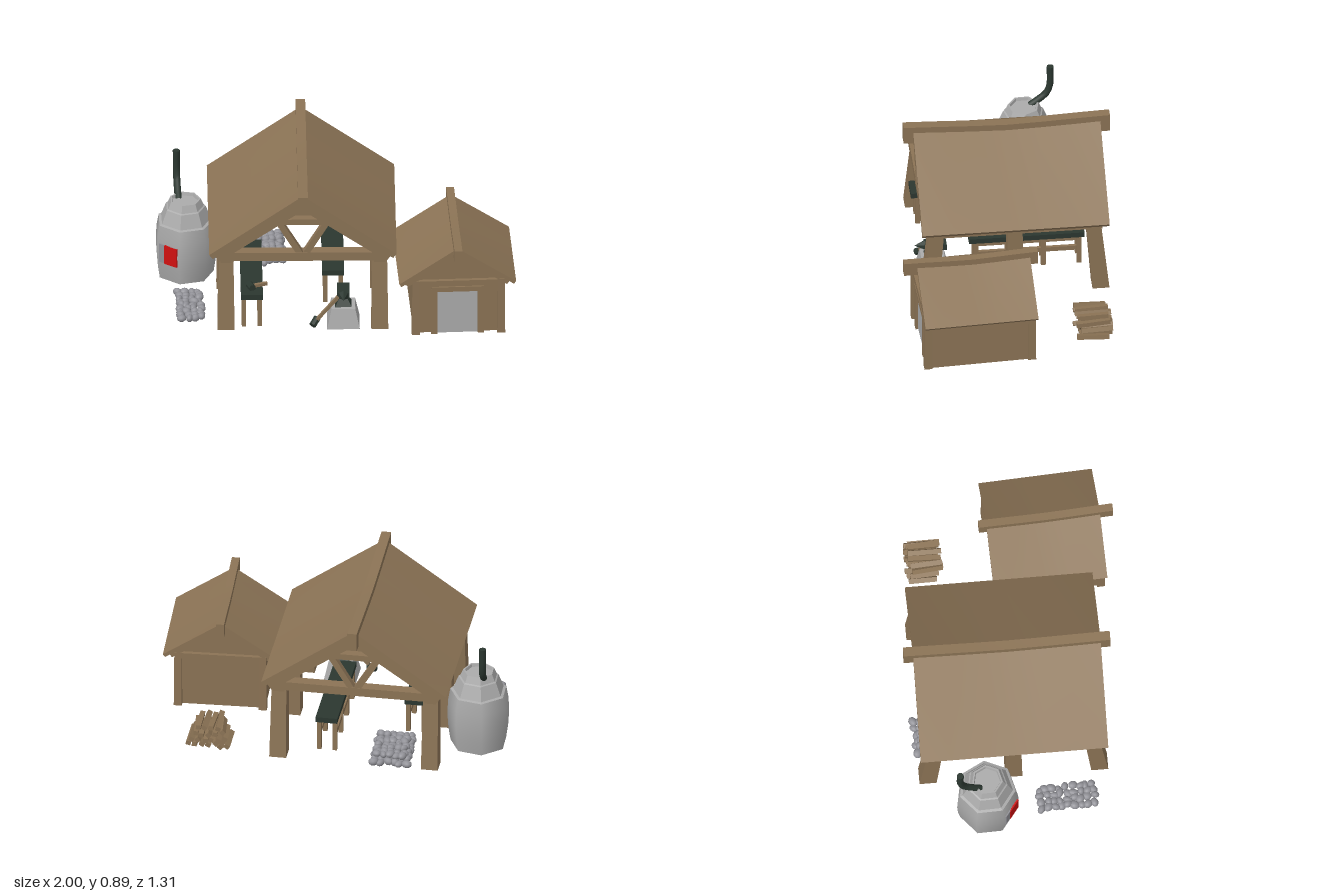
import * as THREE from 'three';

const mat = (name, color, side = THREE.FrontSide) => {
  const m = new THREE.MeshStandardMaterial({ color, side });
  m.name = name;
  return m;
};

export function createModel() {
  const wood = mat('wood', 0x8b7355);
  const iron = mat('dark iron', 0x2b3730);
  const stone = mat('pale stone', 0xababab, THREE.DoubleSide);
  const rock = mat('rock grey', 0x929298);
  const ember = mat('ember red', 0xd01010);

  const root = new THREE.Group();
  root.name = 'smithy';
  const group = (name, parent = root) => {
    const g = new THREE.Group();
    g.name = name;
    parent.add(g);
    return g;
  };
  const add = (parent, name, geo, m, x = 0, y = 0, z = 0) => {
    const mesh = new THREE.Mesh(geo, m);
    mesh.name = name;
    mesh.position.set(x, y, z);
    parent.add(mesh);
    return mesh;
  };
  const box = (parent, name, m, w, h, d, x, y, z) =>
    add(parent, name, new THREE.BoxGeometry(w, h, d), m, x, y, z);
  const flat = (geo) => {
    const g = geo.index ? geo.toNonIndexed() : geo;
    g.computeVertexNormals();
    return g;
  };
  // Straight bar between two points, in the parent's own frame
  const up = new THREE.Vector3(0, 1, 0);
  const beam = (parent, name, m, a, b, w, h = w) => {
    const p = new THREE.Vector3(...a), q = new THREE.Vector3(...b);
    const mesh = add(parent, name, new THREE.BoxGeometry(w, h, p.distanceTo(q)), m);
    mesh.quaternion.setFromRotationMatrix(new THREE.Matrix4().lookAt(q, p, up));
    mesh.position.copy(p).add(q).multiplyScalar(0.5);
    return mesh;
  };
  // Four-sided tapering block, optionally leaning along z
  const taper = (parent, name, m, bottom, top, h, x, y, z, lean = 0) => {
    const g = new THREE.CylinderGeometry(top * Math.SQRT1_2, bottom * Math.SQRT1_2, h, 4);
    g.rotateY(Math.PI / 4).translate(0, h / 2, 0);
    const p = g.attributes.position;
    for (let i = 0; i < p.count; i++) p.setZ(i, p.getZ(i) + lean * p.getY(i) / h);
    return add(parent, name, flat(g), m, x, y, z);
  };
  let seed = 7;
  const rnd = () => (seed = (seed * 16807) % 2147483647) / 2147483647;

  // Two slopes that sag towards the ridge, with square-cut eaves, and the ridge beam
  function roof(parent, { half, length, ridge, eave, thick, sag, beamW, beamH, beamL, beamTop, beamZ }) {
    const slope = (ridge - eave) / half;
    const drop = (z) => sag * (Math.min(1, Math.abs(z) / (length / 2)) ** 1.3 - 1);
    for (const turn of [0, Math.PI]) {
      const g = new THREE.BoxGeometry(half, thick, length, 1, 1, 6).translate(half / 2, -thick / 2, 0);
      const p = g.attributes.position;
      for (let i = 0; i < p.count; i++) {
        const atEave = p.getX(i) > half / 2;
        if (atEave && p.getY(i) < -thick / 2) p.setX(i, half - thick * 0.5);
        p.setY(i, ridge + p.getY(i) - slope * p.getX(i) + (atEave ? 0 : drop(p.getZ(i))));
      }
      g.computeVertexNormals();
      add(parent, 'roofSlope', g, wood).rotation.y = turn;
    }
    const r = new THREE.BoxGeometry(beamW, beamH, beamL, 1, 1, 6);
    const p = r.attributes.position;
    for (let i = 0; i < p.count; i++) p.setY(i, p.getY(i) + drop(p.getZ(i)));
    r.computeVertexNormals();
    add(parent, 'ridgeBeam', r, wood, 0, beamTop - beamH / 2, beamZ);
  }

  // Open timber shelter
  const shelter = group('shelter');
  shelter.position.set(-0.183, 0, -0.067);
  shelter.rotation.y = -0.05;
  roof(shelter, { half: 0.533, length: 1.07, ridge: 0.86, eave: 0.483, thick: 0.04, sag: 0.023,
    beamW: 0.055, beamH: 0.11, beamL: 1.18, beamTop: 0.88, beamZ: 0 });
  for (const s of [-1, 1]) {
    for (const k of [-1, 0, 1]) taper(shelter, 'post', wood, 0.097, 0.085, 0.435, s * 0.437, 0, k * 0.49, -k * 0.04);
    box(shelter, 'eaveBeam', wood, 0.065, 0.045, 1.0, s * 0.437, 0.434, 0);
  }
  for (const z of [-0.485, 0, 0.485]) box(shelter, 'tieBeam', wood, 0.94, 0.052, 0.065, 0, 0.459, z);
  for (const z of [-0.495, 0.495]) {
    box(shelter, 'collarBeam', wood, 0.34, 0.035, 0.05, 0, 0.683, z);
    for (const s of [-1, 1]) {
      beam(shelter, 'rafter', wood, [s * 0.49, 0.452, z], [0, 0.79, z], 0.055, 0.05);
      beam(shelter, 'brace', wood, [s * 0.015, 0.475, z], [s * 0.135, 0.675, z], 0.04, 0.035);
    }
  }

  // Closed shed
  const shed = group('shed');
  shed.position.set(0.665, 0, 0.257);
  roof(shed, { half: 0.333, length: 0.65, ridge: 0.553, eave: 0.332, thick: 0.025, sag: 0.013,
    beamW: 0.045, beamH: 0.083, beamL: 0.77, beamTop: 0.575, beamZ: 0.015 });
  const gable = new THREE.Shape([[-0.255, 0], [0.255, 0], [0.25, 0.345], [0, 0.515], [-0.25, 0.345]]
    .map((p) => new THREE.Vector2(...p)));
  add(shed, 'walls', new THREE.ExtrudeGeometry(gable, { depth: 0.58, bevelEnabled: false }), wood, 0.005, 0, -0.29);
  for (const s of [-1, 1]) {
    for (const k of [-1, 1]) {
      taper(shed, 'cornerPost', wood, 0.046, 0.04, 0.345, 0.005 + s * 0.243, 0, k * 0.298);
      beam(shed, 'gableRafter', wood, [s * 0.29, 0.322, k * 0.3], [0, 0.512, k * 0.3], 0.03);
    }
    box(shed, 'doorJamb', wood, 0.036, 0.285, 0.03, s * 0.133, 0.1425, 0.298);
  }
  for (const k of [-1, 1]) box(shed, 'gableBeam', wood, 0.49, 0.036, 0.03, 0, 0.322, k * 0.298);
  box(shed, 'doorLintel', wood, 0.3, 0.03, 0.034, 0, 0.285, 0.298);
  for (const s of [-1, 1]) box(shed, 'doorLeaf', stone, 0.115, 0.272, 0.008, s * 0.0585, 0.136, 0.294);

  // Workbenches
  for (const [x, z] of [[-0.482, 0.11], [-0.003, -0.15]]) {
    const bench = group('workbench');
    bench.position.set(x, 0, z);
    bench.rotation.y = -0.05;
    box(bench, 'benchTop', iron, 0.125, 0.032, 0.66, 0, 0.2, 0);
    for (const s of [-1, 1]) {
      for (const k of [-0.3, -0.095, 0.1, 0.29]) box(bench, 'benchLeg', wood, 0.025, 0.186, 0.028, s * 0.045, 0.093, k);
      box(bench, 'benchRail', wood, 0.018, 0.028, 0.6, s * 0.045, 0.105, 0);
    }
  }

  // Hammers: handle from a to b with the head at a
  function hammer(a, b, axis) {
    const g = group('hammer');
    beam(g, 'hammerHandle', wood, a, b, 0.018);
    const head = add(g, 'hammerHead', flat(new THREE.CylinderGeometry(0.021, 0.021, 0.055, 8)), iron, ...a);
    head.quaternion.setFromUnitVectors(up, new THREE.Vector3(...axis).normalize());
  }
  hammer([-0.14, 0.032, 0.44], [-0.005, 0.185, 0.43], [-0.5, -0.5, 0.6]);
  hammer([-0.5, 0.23, 0.36], [-0.405, 0.23, 0.33], [0.3, 0, 1]);

  // Anvil on its stone block
  const anvil = group('anvil');
  anvil.position.set(0.025, 0, 0.39);
  anvil.rotation.y = -0.05;
  taper(anvil, 'anvilBlock', stone, 0.185, 0.135, 0.118, 0, 0, 0);
  taper(anvil, 'anvilFoot', iron, 0.095, 0.05, 0.04, 0, 0.118, 0);
  taper(anvil, 'anvilWaist', iron, 0.045, 0.07, 0.025, 0, 0.155, 0);
  box(anvil, 'anvilFace', iron, 0.07, 0.035, 0.125, 0, 0.193, -0.015);
  const horn = add(anvil, 'anvilHorn', flat(new THREE.ConeGeometry(0.03, 0.06, 6)), iron, 0, 0.193, 0.075);
  horn.rotation.x = Math.PI / 2;

  // Seven-sided furnace: smooth open-bottomed body and a stepped, faceted cap
  const furnace = group('furnace');
  furnace.position.set(-0.835, 0, -0.268);
  const lathe = (pts) => new THREE.LatheGeometry(pts.map((p) => new THREE.Vector2(...p)), 7, 1.55);
  add(furnace, 'furnaceBody', lathe([[0.163, 0], [0.175, 0.08], [0.181, 0.17], [0.177, 0.26], [0.164, 0.335]]), stone);
  add(furnace, 'furnaceCap', flat(lathe([[0.164, 0.335], [0.148, 0.34], [0.117, 0.42], [0.108, 0.425], [0.09, 0.467], [0.08, 0.467], [0.076, 0.45], [0, 0.45]])), stone);
  const door = group('fireDoor', furnace);
  door.rotation.y = -0.692;
  const plate = (name, m, w, x, z) => box(door, name, m, w, 0.117, 0.009, x, 0.173, z);
  plate('fireDoorFrame', rock, 0.125, 0, 0.163);
  plate('fireGlow', ember, 0.086, 0.0205, 0.166);

  const flue = new THREE.CatmullRomCurve3([[-0.87, 0.44, -0.31], [-0.872, 0.475, -0.36], [-0.873, 0.515, -0.405],
    [-0.874, 0.57, -0.425], [-0.875, 0.695, -0.427]].map((p) => new THREE.Vector3(...p)));
  add(root, 'chimneyPipe', new THREE.TubeGeometry(flue, 10, 0.02, 8, false), iron);
  add(root, 'chimneyTop', new THREE.CylinderGeometry(0.02, 0.02, 0.006, 8), iron, -0.875, 0.694, -0.427);

  // Heaps of rough stones in layers
  function heap(name, x0, x1, z0, z1, layers) {
    const g = group(name);
    for (let l = 0; l < layers; l++) {
      const inset = l * 0.025;
      for (let x = x0 + 0.024 + inset; x < x1 - 0.01 - inset; x += 0.037) {
        for (let z = z0 + 0.024 + inset; z < z1 - 0.01 - inset; z += 0.038) {
          const m = add(g, 'rubble', new THREE.IcosahedronGeometry(0.025, 1), rock,
            x + (rnd() - 0.5) * 0.014, 0.022 + l * 0.032 + rnd() * 0.012, z + (rnd() - 0.5) * 0.016);
          m.scale.set(0.75 + rnd() * 0.3, 0.75 + rnd() * 0.2, 0.9 + rnd() * 0.4);
          m.rotation.set(0, rnd() * 3, 0);
        }
      }
    }
  }
  heap('sideHeap', -0.915, -0.765, 0.015, 0.365, 1);
  heap('backHeap', -0.485, -0.23, -0.635, -0.285, 2);

  // Stacked firewood
  const pile = group('firewood');
  pile.position.set(0.685, 0, -0.43);
  for (let row = 0; row < 4; row++) {
    const n = 7 - row;
    for (let i = 0; i < n; i++) {
      const log = box(pile, 'log', wood, 0.028, 0.026, 0.16 + rnd() * 0.035,
        (i - (n - 1) / 2) * 0.037, 0.018 + row * 0.034, (rnd() - 0.5) * 0.035);
      log.rotation.set((rnd() - 0.5) * 0.14, (rnd() - 0.5) * 0.12, rnd());
    }
  }
  return root;
}
